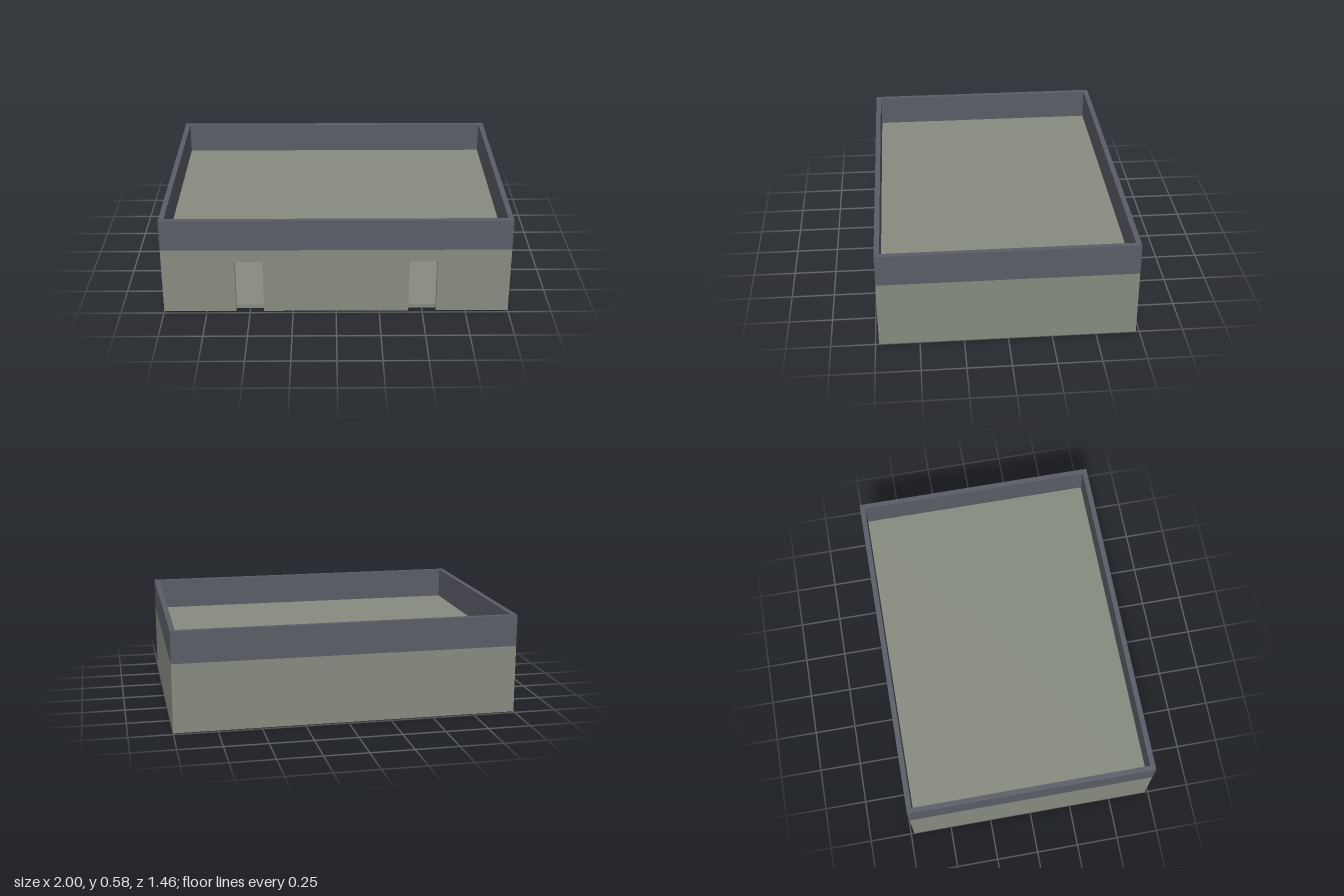
import * as THREE from 'three';

const W = 1, D = 0.73;          // half width and half depth
const T = 0.03;                 // wall thickness
const WALL = 0.4, TOP = 0.585;  // wall height, parapet top
const SLAB = 0.025;             // floor and roof thickness

export function createModel() {
  const group = new THREE.Group();
  const wallMat = new THREE.MeshStandardMaterial({ name: 'grey green wall', color: 0x868b7f });
  const trimMat = new THREE.MeshStandardMaterial({ name: 'slate parapet', color: 0x5a5d66 });

  const add = (name, geometry, material, x = 0, y = 0, z = 0) => {
    const mesh = new THREE.Mesh(geometry, material);
    mesh.name = name;
    mesh.position.set(x, y, z);
    group.add(mesh);
  };
  const box = (name, w, h, d, material, x, y, z) =>
    add(name, new THREE.BoxGeometry(w, h, d), material, x, y + h / 2, z);

  // Front wall with two doorways open down to the ground
  const front = new THREE.Shape();
  front.moveTo(-W, 0);
  for (const x of [-0.5, 0.5]) {
    front.lineTo(x - 0.08, 0);
    front.lineTo(x - 0.08, 0.325);
    front.lineTo(x + 0.08, 0.325);
    front.lineTo(x + 0.08, 0);
  }
  front.lineTo(W, 0);
  front.lineTo(W, WALL);
  front.lineTo(-W, WALL);
  front.closePath();
  add('frontWall', new THREE.ExtrudeGeometry(front, { depth: T, bevelEnabled: false }), wallMat, 0, 0, D - T);

  // Back and side walls
  box('backWall', 2 * W, WALL, T, wallMat, 0, 0, -D + T / 2);
  for (const [name, s] of [['leftWall', 1], ['rightWall', -1]]) {
    box(name, T, WALL, 2 * (D - T), wallMat, s * (W - T / 2), 0, 0);
  }

  // Floor and flat roof, set between the walls
  for (const [name, y] of [['floor', 0], ['roof', WALL - SLAB]]) {
    box(name, 2 * (W - T), SLAB, 2 * (D - T), wallMat, 0, y, 0);
  }

  // Parapet ring around the roof
  const rect = (path, x, z) =>
    path.moveTo(-x, -z).lineTo(x, -z).lineTo(x, z).lineTo(-x, z).closePath();
  const ring = new THREE.Shape();
  rect(ring, W, D);
  const hole = new THREE.Path();
  rect(hole, W - T, D - T);
  ring.holes.push(hole);
  const parapet = new THREE.ExtrudeGeometry(ring, { depth: TOP - WALL, bevelEnabled: false });
  parapet.rotateX(-Math.PI / 2);
  add('parapet', parapet, trimMat, 0, WALL, 0);

  return group;
}
